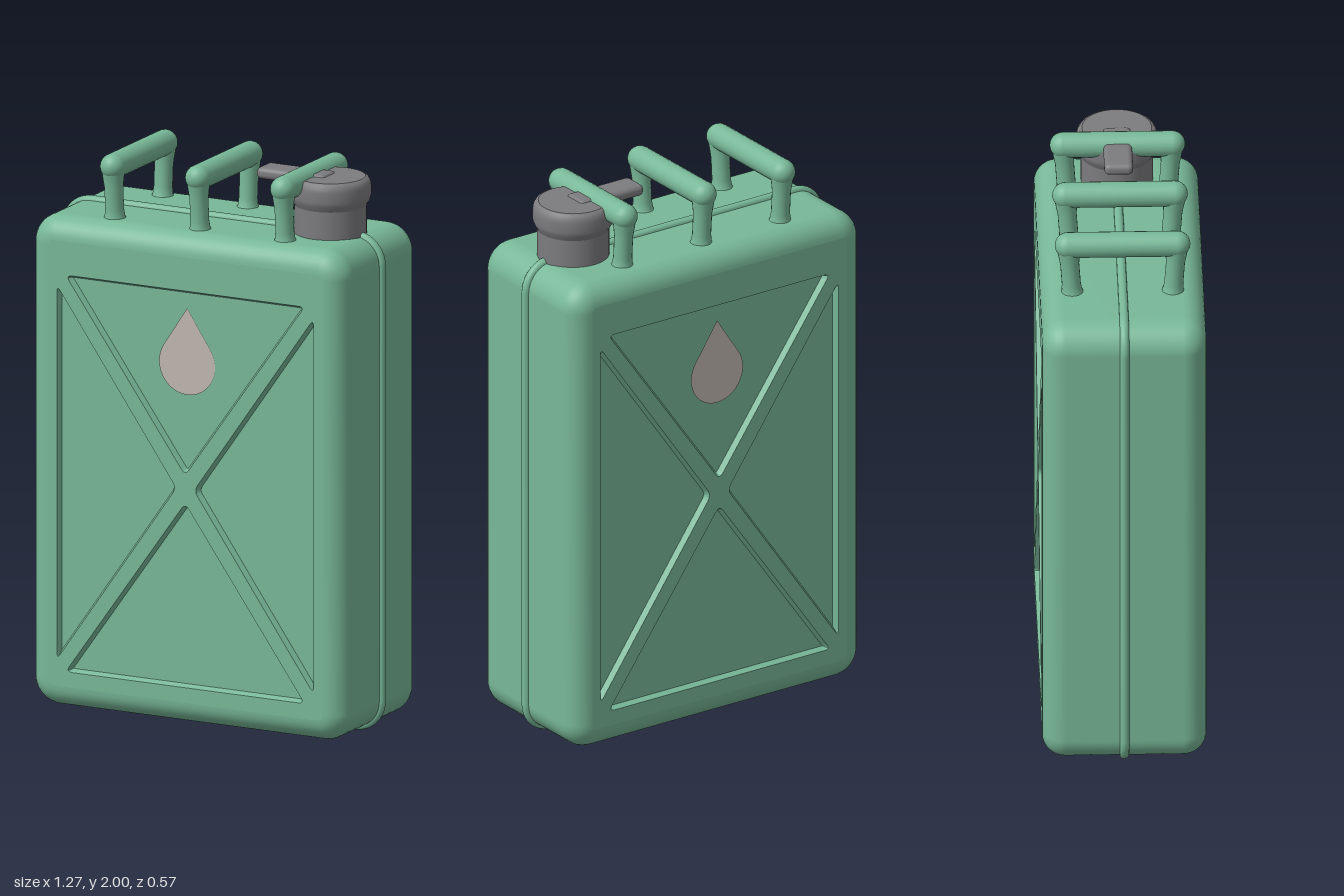
import * as THREE from 'three';
import { RoundedBoxGeometry } from 'three/addons/geometries/RoundedBoxGeometry.js';

const W = 0.62, Y0 = 0.015, Y1 = 1.77, D = 0.285; // body half width, bottom, top, half depth
const CORNER = 0.1, FILLET = 0.08, RECESS = 0.02;

// Rounded-rectangle outline, counter-clockwise, moved inwards by inset
function outline(inset) {
  const pts = [], n = 10, cy = (Y0 + Y1) / 2, h = (Y1 - Y0) / 2;
  const signs = [[1, 1], [-1, 1], [-1, -1], [1, -1]];
  signs.forEach(([sx, sy], q) => {
    for (let i = 0; i <= n; i++) {
      const a = (q + i / n) * Math.PI / 2, r = CORNER - inset;
      pts.push(new THREE.Vector2(
        sx * (W - CORNER) + r * Math.cos(a),
        cy + sy * (h - CORNER) + r * Math.sin(a)));
    }
  });
  return pts;
}

// Skin over outlines along a profile of [inset, z] pairs, z increasing
function loft(profile) {
  const pos = [], idx = [];
  let n = 0;
  profile.forEach(([inset, z], j) => {
    const loop = outline(inset);
    n = loop.length;
    loop.forEach((p, i) => {
      pos.push(p.x, p.y, z);
      if (j === 0) return;
      const k = (i + 1) % n, lo = (j - 1) * n, hi = j * n;
      idx.push(lo + i, lo + k, hi + k, lo + i, hi + k, hi + i);
    });
  });
  const g = new THREE.BufferGeometry();
  g.setAttribute('position', new THREE.Float32BufferAttribute(pos, 3));
  g.setIndex(idx);
  g.computeVertexNormals();
  return g;
}

// Triangular hole with softened corners
function roundedTriangle(pts, r) {
  const v = pts.map(([x, y]) => new THREE.Vector2(x, y));
  const path = new THREE.Path();
  v.forEach((p, i) => {
    const prev = v[(i + 2) % 3], next = v[(i + 1) % 3];
    const a = p.clone().add(prev.clone().sub(p).setLength(r));
    const b = p.clone().add(next.clone().sub(p).setLength(r));
    if (i === 0) path.moveTo(a.x, a.y); else path.lineTo(a.x, a.y);
    path.quadraticCurveTo(p.x, p.y, b.x, b.y);
  });
  path.closePath();
  return path;
}

export function createModel() {
  const green = new THREE.MeshStandardMaterial({ color: 0x78b898 });
  green.name = 'can green';
  const grey = new THREE.MeshStandardMaterial({ color: 0x7c7b7e });
  grey.name = 'cap grey';
  const pale = new THREE.MeshStandardMaterial({ color: 0xc0b8b0 });
  pale.name = 'drop beige';

  const model = new THREE.Group();
  model.name = 'fuelCan';
  const add = (parent, name, geometry, material, x = 0, y = 0, z = 0) => {
    const m = new THREE.Mesh(geometry, material);
    m.name = name;
    m.position.set(x, y, z);
    parent.add(m);
    return m;
  };

  // Body shell with filleted front and back edges
  const shell = [];
  for (const s of [-1, 1]) {
    for (let i = 0; i <= 8; i++) {
      const a = (s < 0 ? 8 - i : i) / 8 * Math.PI / 2;
      shell.push([FILLET * (1 - Math.cos(a)), s * (D - FILLET + FILLET * Math.sin(a))]);
    }
  }
  add(model, 'bodyShell', loft(shell), green);

  // Welded seam bead around the middle
  const bead = [];
  for (let i = 0; i <= 8; i++) {
    const a = (i / 8 - 0.5) * Math.PI;
    bead.push([-0.015 * Math.cos(a), 0.016 * Math.sin(a)]);
  }
  add(model, 'seam', loft(bead), green);

  // Face plate: four sunken triangles leave a crossed rib
  const face = new THREE.Shape(outline(FILLET));
  face.holes.push(
    roundedTriangle([[-0.47, 1.57], [0, 0.91], [0.47, 1.57]], 0.025),
    roundedTriangle([[-0.47, 0.15], [0.47, 0.15], [0, 0.81]], 0.025),
    roundedTriangle([[-0.505, 0.19], [-0.035, 0.86], [-0.505, 1.53]], 0.025),
    roundedTriangle([[0.505, 0.19], [0.505, 1.53], [0.035, 0.86]], 0.025));
  const faceGeo = new THREE.ExtrudeGeometry(face, {
    depth: 0.01, bevelThickness: RECESS, bevelSize: 0.01, bevelSegments: 1, curveSegments: 4,
  });
  const floorGeo = new THREE.ShapeGeometry(new THREE.Shape(outline(FILLET)));

  // Drop emblem
  const drop = new THREE.Shape();
  const t = 0.55; // angle at which the round belly meets the straight sides
  drop.moveTo(0, 0.2);
  drop.lineTo(-0.11 * Math.cos(t), 0.11 * Math.sin(t));
  drop.absarc(0, 0, 0.11, Math.PI - t, Math.PI * 2 + t, false);
  drop.closePath();
  const dropGeo = new THREE.ShapeGeometry(drop, 24);

  for (const [name, turn] of [['frontPanel', 0], ['backPanel', Math.PI]]) {
    const panel = new THREE.Group();
    panel.name = name;
    panel.rotation.y = turn;
    add(panel, 'ribbedFace', faceGeo, green, 0, 0, D - RECESS - 0.01);
    add(panel, 'recessFloor', floorGeo, green, 0, 0, D - RECESS);
    add(panel, 'dropEmblem', dropGeo, pale, 0, 1.305, D - RECESS + 0.005);
    model.add(panel);
  }

  // Three carrying handles: flared posts under a round-ended bar
  const postGeo = new THREE.LatheGeometry([
    [0.042, 0], [0.036, 0.015], [0.033, 0.04], [0.033, 0.12], [0.038, 0.16], [0.042, 0.2],
  ].map(([r, y]) => new THREE.Vector2(r, y)), 20);
  const barGeo = new THREE.CapsuleGeometry(0.045, 0.38, 8, 20);
  barGeo.rotateX(Math.PI / 2);
  for (const x of [-0.335, 0, 0.335]) {
    const handle = new THREE.Group();
    handle.name = 'handle';
    handle.position.x = x;
    add(handle, 'handleBar', barGeo, green, 0, 1.955, 0);
    for (const s of [-1, 1]) {
      add(handle, 'handlePost', postGeo, green, 0, 1.76, s * 0.175).rotation.x = s * 0.07;
    }
    model.add(handle);
  }

  // Filler neck and cap with a lever tab
  const capGroup = new THREE.Group();
  capGroup.name = 'cap';
  capGroup.position.x = 0.42;
  const lathe = (pts) => new THREE.LatheGeometry(pts.map(([r, y]) => new THREE.Vector2(r, y)), 40);
  add(capGroup, 'fillerNeck', lathe([[0.126, 1.74], [0.126, 1.875]]), grey);
  add(capGroup, 'capRim', lathe([
    [0.124, 1.865], [0.13, 1.878], [0.137, 1.89], [0.141, 1.905], [0.141, 1.94],
    [0.138, 1.955], [0.131, 1.966], [0.12, 1.971],
  ]), grey);
  add(capGroup, 'capTop', new THREE.CircleGeometry(0.121, 40), grey, 0, 1.971, 0).rotation.x = -Math.PI / 2;
  add(capGroup, 'capTab', new RoundedBoxGeometry(0.27, 0.042, 0.1, 4, 0.018), grey, -0.135, 1.957, 0);
  model.add(capGroup);

  return model;
}
